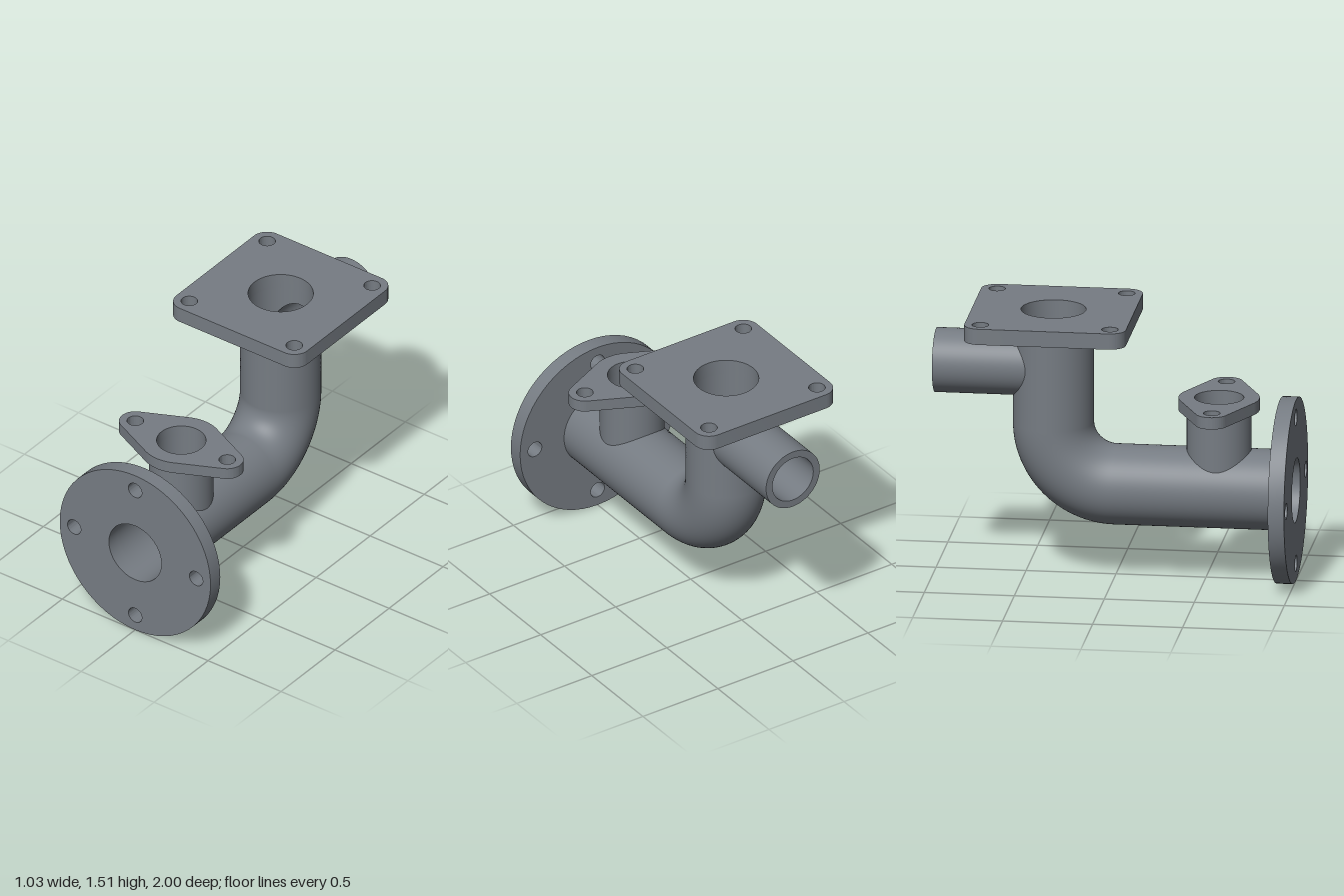
import * as THREE from 'three';
import { toCreasedNormals } from 'three/addons/utils/BufferGeometryUtils.js';

const OUTER = 0.224, BORE = 0.18;               // main pipe radii
const PORT_OUTER = 0.179, PORT_BORE = 0.136;    // side pipe radii
const BEND = 0.347, AXIS_Y = 0.517;             // bend radius, height of the lower pipe
const PORT_Z = 0.573, PORT_Y = 1.193;           // side pipe positions
const TOP_Y = 1.417, PORT_TOP_Y = 0.967;        // undersides of the two upper flanges
const BOLT = 0.046;                             // bolt hole radius

const material = new THREE.MeshStandardMaterial({ color: 0x767c83, side: THREE.DoubleSide });

function add(parent, name, geometry) {
  const mesh = new THREE.Mesh(geometry, material);
  mesh.name = name;
  parent.add(mesh);
  return mesh;
}

// Grid surface: fn(u, row) gives [x, y, z, nx, ny, nz]; inward turns it to face its axis.
function surface(cols, rows, inward, fn) {
  const geometry = new THREE.PlaneGeometry(1, 1, cols, rows);
  const { position, normal } = geometry.attributes;
  const s = inward ? -1 : 1;
  for (let i = 0; i < position.count; i++) {
    const u = 0.5 + s * position.getX(i);
    const row = Math.round((position.getY(i) + 0.5) * rows);
    const [x, y, z, nx, ny, nz] = fn(u, row);
    position.setXYZ(i, x, y, z);
    normal.setXYZ(i, s * nx, s * ny, s * nz);
  }
  return geometry;
}

// Straight wall along y with a round port of radius b cut towards +z at height h.
function runWall(R, b, length, h, inward) {
  const rows = 34;
  return surface(64, rows, inward, (u, row) => {
    let y = h - b * Math.cos(Math.PI * (row - 1) / (rows - 2));
    if (row === 0) y = 0;
    if (row === rows) y = length;
    const a = Math.asin(Math.sqrt(Math.max(0, b * b - (y - h) ** 2)) / R);
    const t = a + (2 * Math.PI - 2 * a) * u;
    return [R * Math.sin(t), y, R * Math.cos(t), Math.sin(t), 0, Math.cos(t)];
  });
}

// Side wall along z, its root saddled onto a cylinder of radius R.
function portWall(R, b, h, reach, inward) {
  return surface(64, 1, inward, (u, row) => {
    const c = Math.cos(u * 2 * Math.PI), s = Math.sin(u * 2 * Math.PI);
    const z = row ? reach : Math.sqrt(R * R - b * b * c * c);
    return [b * c, h + b * s, z, c, s, 0];
  });
}

// Hollow straight pipe with a hollow side pipe.
function teePipe(name, length, h, reach) {
  const group = new THREE.Group();
  group.name = name;
  add(group, 'pipeWall', runWall(OUTER, PORT_OUTER, length, h, false));
  add(group, 'pipeBore', runWall(BORE, PORT_BORE, length, h, true));
  add(group, 'sidePipeWall', portWall(OUTER, PORT_OUTER, h, reach, false));
  add(group, 'sidePipeBore', portWall(BORE, PORT_BORE, h, reach, true));
  const rim = add(group, 'sidePipeRim', new THREE.RingGeometry(PORT_BORE, PORT_OUTER, 64));
  rim.position.set(0, h, reach);
  return group;
}

// Plate outlined by arcs [x, y, r, start, end], with round holes [x, y, r].
function flange(arcs, holes, depth) {
  const shape = new THREE.Shape();
  arcs.forEach(([x, y, r, a, b]) => shape.absarc(x, y, r, a, b, false));
  for (const [x, y, r] of holes) {
    shape.holes.push(new THREE.Path().absarc(x, y, r, 0, Math.PI * 2, true));
  }
  const geometry = new THREE.ExtrudeGeometry(shape, { depth, bevelEnabled: false, curveSegments: 32 });
  return toCreasedNormals(geometry, 0.5);
}

export function createModel() {
  const model = new THREE.Group();
  model.name = 'pipeElbow';
  const PI = Math.PI, bendY = AXIS_Y + BEND;

  // Lower horizontal pipe with its upward port
  const lower = teePipe('lowerPipe', 0.91, PORT_Z, PORT_TOP_Y - AXIS_Y);
  lower.rotation.set(PI / 2, PI, 0);
  lower.position.y = AXIS_Y;
  model.add(lower);

  // Upright pipe with its rear outlet
  const upright = teePipe('uprightPipe', TOP_Y - bendY, PORT_Y - bendY, 1 - BEND);
  upright.rotation.y = PI;
  upright.position.set(0, bendY, -BEND);
  model.add(upright);

  // Quarter bend, outside and bore
  for (const [name, r] of [['bendWall', OUTER], ['bendBore', BORE]]) {
    const bend = new THREE.TorusGeometry(BEND, r, 64, 32, PI / 2);
    add(model, name, bend.rotateZ(-PI / 2).rotateY(PI / 2)).position.y = bendY;
  }

  // Round front flange with four bolt holes
  const roundHoles = [[0, 0, BORE]];
  for (let i = 0; i < 4; i++) {
    roundHoles.push([0.418 * Math.cos(i * PI / 2), 0.418 * Math.sin(i * PI / 2), BOLT]);
  }
  const front = add(model, 'frontFlange', flange([[0, 0, 0.517, 0, 2 * PI]], roundHoles, 0.09));
  front.position.set(0, AXIS_Y, 0.91);

  // Square top flange with rounded corners
  const corners = [], squareHoles = [[0, 0, BORE]];
  [[1, 1], [-1, 1], [-1, -1], [1, -1]].forEach(([sx, sy], i) => {
    corners.push([sx * 0.36, sy * 0.36, 0.089, i * PI / 2, (i + 1) * PI / 2]);
    squareHoles.push([sx * 0.36, sy * 0.36, BOLT]);
  });
  const top = add(model, 'topFlange', flange(corners, squareHoles, 0.09));
  top.rotation.x = -PI / 2;
  top.position.set(0, TOP_Y, -BEND);

  // Two-bolt flange: a large middle arc tangent to two small ends
  const d = 0.315, r = 0.09, a = Math.acos((OUTER - r) / d);
  const outline = [
    [d, 0, r, -a, a],
    [0, 0, OUTER, a, PI - a],
    [-d, 0, r, PI - a, PI + a],
    [0, 0, OUTER, PI + a, 2 * PI - a],
  ];
  const small = add(model, 'portFlange',
    flange(outline, [[0, 0, PORT_BORE], [d, 0, BOLT], [-d, 0, BOLT]], 0.068));
  small.rotation.x = -PI / 2;
  small.position.set(0, PORT_TOP_Y, PORT_Z);

  return model;
}
